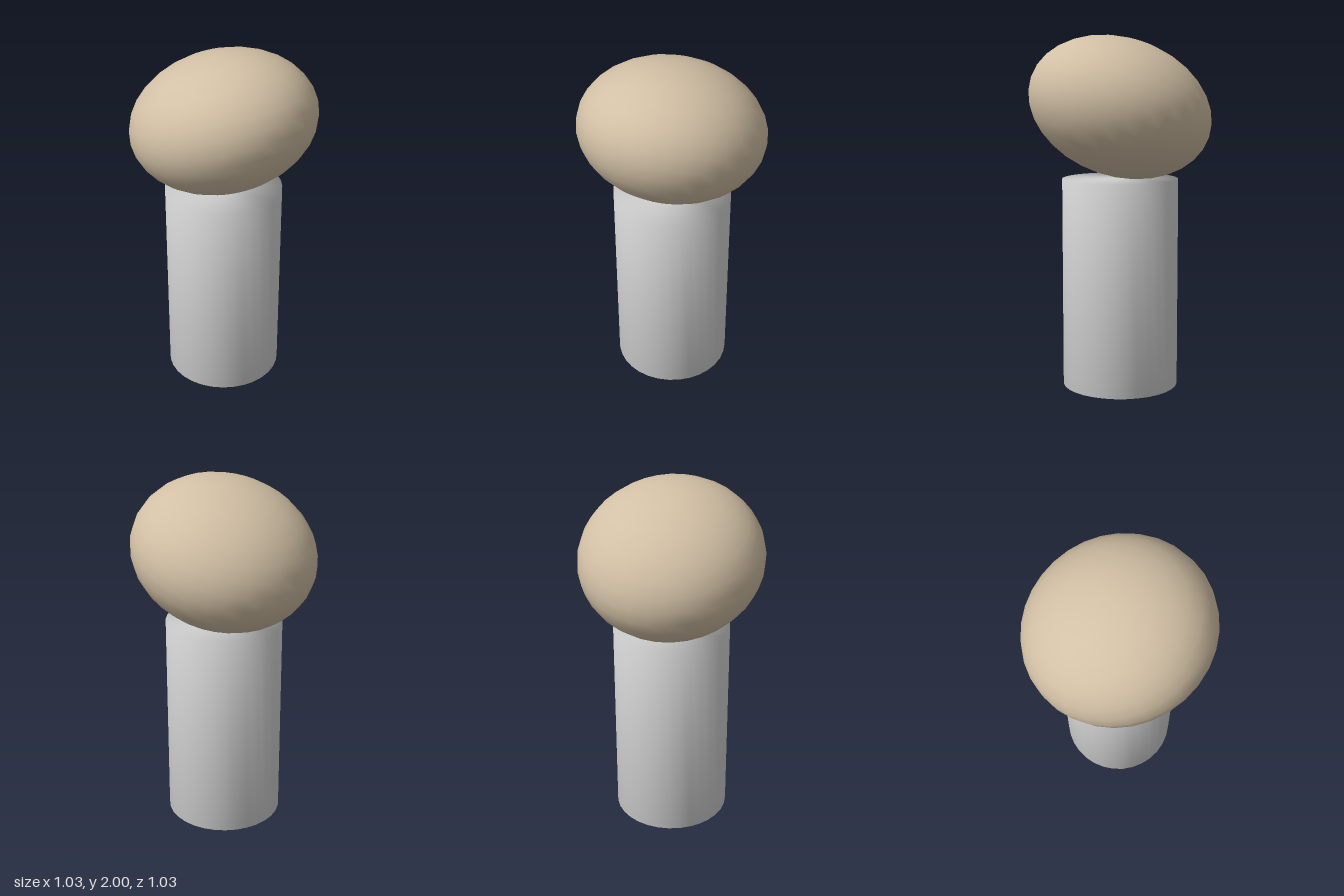
import * as THREE from 'three';

export function createModel() {
  const group = new THREE.Group();
  const tan = new THREE.MeshStandardMaterial({ name: 'tan', color: 0xd2c0a5 });
  const grey = new THREE.MeshStandardMaterial({ name: 'lightGrey', color: 0xd2d2d2 });

  function add(name, geometry, material, y) {
    const mesh = new THREE.Mesh(geometry, material);
    mesh.name = name;
    mesh.position.y = y;
    group.add(mesh);
    return mesh;
  }

  const rodRadius = 0.1, stemRadius = 0.33, stemHeight = 1.195;

  // Stem: wide column with softly shaded rims and a bore in the base
  const profile = [
    [rodRadius, 0], [stemRadius, 0], [stemRadius, stemHeight], [0, stemHeight],
  ].map(([r, y]) => new THREE.Vector2(r, y));
  add('stem', new THREE.LatheGeometry(profile, 32), grey, 0);

  // Core rod: fills the bore, flush with the base
  const rodHeight = stemHeight - 0.02;
  add('coreRod', new THREE.CylinderGeometry(rodRadius, rodRadius, rodHeight, 32), tan, rodHeight / 2);

  // Cap: flattened ball, tipped up towards +x
  const cap = add('cap', new THREE.SphereGeometry(1, 32, 16), tan, 1.595);
  cap.scale.set(0.529, 0.387, 0.515);
  cap.rotation.z = THREE.MathUtils.degToRad(19.5);

  return group;
}
